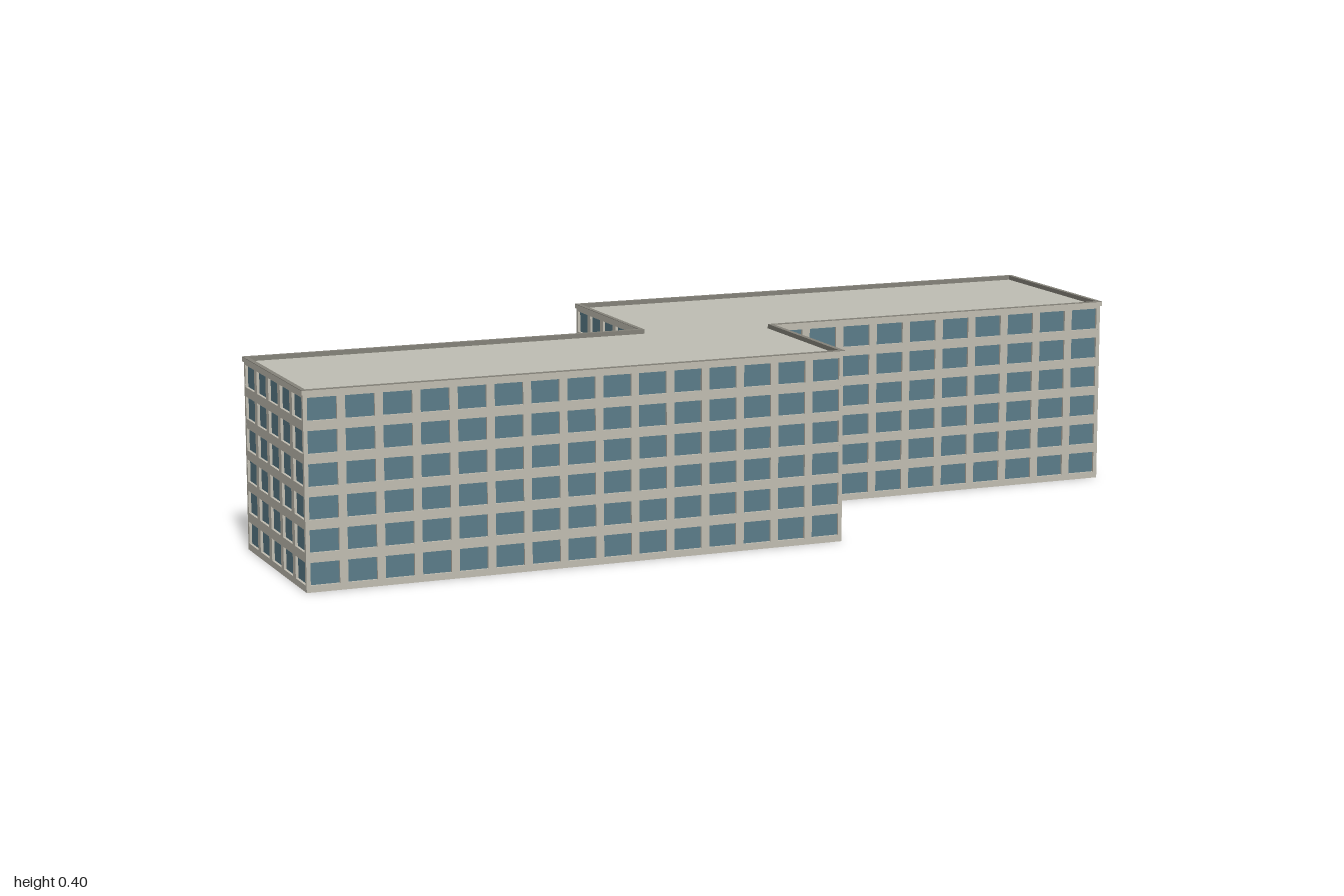
import * as THREE from 'three';
import { mergeGeometries } from 'three/addons/utils/BufferGeometryUtils.js';

const wallMat = new THREE.MeshStandardMaterial({ color: 0xc2beb2, side: THREE.DoubleSide });
wallMat.name = 'pale concrete';
const glassMat = new THREE.MeshStandardMaterial({ color: 0x5b7d8a, side: THREE.DoubleSide });
glassMat.name = 'blue glass';
const roofMat = new THREE.MeshStandardMaterial({ color: 0xc0bfb5, side: THREE.DoubleSide });
roofMat.name = 'roof grey';
const copingMat = new THREE.MeshStandardMaterial({ color: 0x85837a });
copingMat.name = 'coping grey';

// Footprint corners (x, z), each wall running left to right as seen from outside
const corners = [
  [-0.995, 0.343], [0.158, 0.392], [0.172, 0.038], [0.977, 0.073],
  [0.995, -0.352], [-0.097, -0.398], [-0.11, -0.027], [-0.98, -0.065],
].map(([x, z]) => new THREE.Vector2(x, z));

const WALL_H = 0.393, TOP = 0.403, FLOORS = 6, RECESS = 0.006;

// Footprint moved outward by d
function offset(d) {
  const n = corners.length;
  const normal = (i) => {
    const e = corners[(i + 1) % n].clone().sub(corners[i % n]).normalize();
    return new THREE.Vector2(-e.y, e.x);
  };
  return corners.map((c, i) => c.clone().addScaledVector(normal(i), d).addScaledVector(normal(i + n - 1), d));
}

const flat = (pts) => pts.map((p) => new THREE.Vector2(p.x, -p.y));

function rect(Type, x0, y0, x1, y1) {
  return new Type([[x0, y0], [x1, y0], [x1, y1], [x0, y1]].map(([x, y]) => new THREE.Vector2(x, y)));
}

// Horizontal ring between two offsets of the footprint
function ring(name, outer, inner, y0, y1, mat) {
  const shape = new THREE.Shape(flat(offset(outer)));
  shape.holes.push(new THREE.Path(flat(offset(inner))));
  const geo = new THREE.ExtrudeGeometry(shape, { depth: y1 - y0, bevelEnabled: false });
  geo.rotateX(-Math.PI / 2);
  const mesh = new THREE.Mesh(geo, mat);
  mesh.position.y = y0;
  mesh.name = name;
  return mesh;
}

// One wall with a grid of recessed windows
function facade(a, b) {
  const group = new THREE.Group();
  group.name = 'facade';
  const len = a.distanceTo(b);
  const cols = Math.round(len / 0.079);
  const w = len / cols, h = WALL_H / FLOORS;
  const wall = rect(THREE.Shape, 0, 0, len, WALL_H);
  const panes = [];
  for (let r = 0; r < FLOORS; r++) {
    for (let c = 0; c < cols; c++) {
      const box = [(c + 0.11) * w, (r + 0.21) * h, (c + 0.89) * w, (r + 0.91) * h];
      wall.holes.push(rect(THREE.Path, ...box));
      panes.push(new THREE.ShapeGeometry(rect(THREE.Shape, ...box)));
    }
  }
  const frame = new THREE.Mesh(new THREE.ExtrudeGeometry(wall, { depth: RECESS, bevelEnabled: false }), wallMat);
  frame.name = 'wall';
  frame.position.z = -RECESS;
  const glass = new THREE.Mesh(mergeGeometries(panes), glassMat);
  glass.name = 'windows';
  glass.position.z = -RECESS + 0.0005;
  group.add(frame, glass);
  group.position.set(a.x, 0, a.y);
  group.rotation.y = Math.atan2(-(b.y - a.y), b.x - a.x);
  return group;
}

export function createModel() {
  const model = new THREE.Group();
  model.name = 'building';

  corners.forEach((c, i) => model.add(facade(c, corners[(i + 1) % corners.length])));

  // Flat roof, open below
  const roofGeo = new THREE.ShapeGeometry(new THREE.Shape(flat(offset(-0.001))));
  roofGeo.rotateX(-Math.PI / 2);
  const roof = new THREE.Mesh(roofGeo, roofMat);
  roof.name = 'roof';
  roof.position.y = WALL_H + 0.0005;
  model.add(roof);

  // Low parapet: pale outer band, darker coping on top and inside
  model.add(ring('parapetBand', 0.003, -0.004, WALL_H, TOP - 0.001, wallMat));
  model.add(ring('copingTop', 0.003, -0.007, TOP - 0.001, TOP, copingMat));
  model.add(ring('copingInside', -0.004, -0.007, WALL_H, TOP - 0.001, copingMat));
  return model;
}
